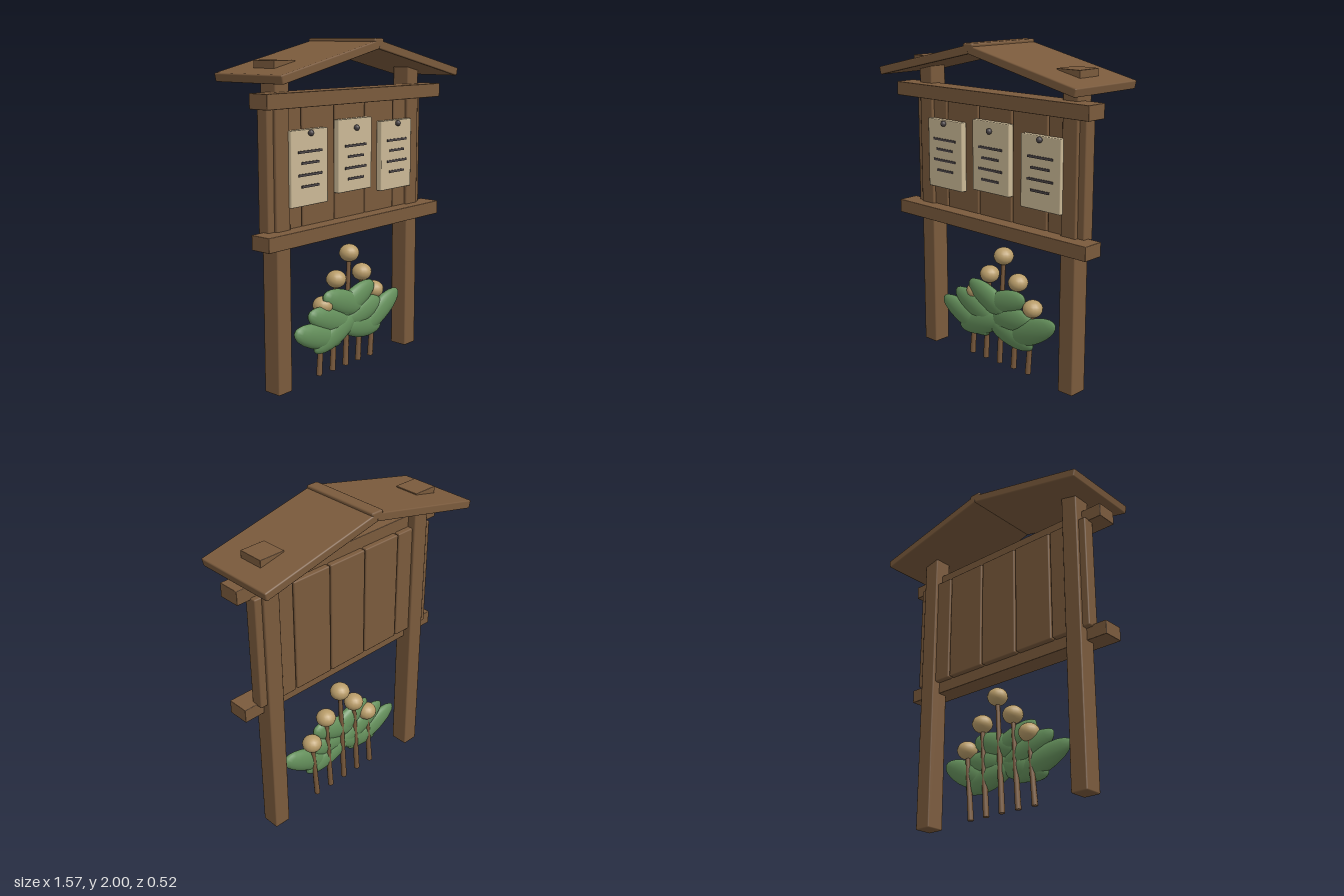
import * as THREE from 'three';
import { RoundedBoxGeometry } from 'three/addons/geometries/RoundedBoxGeometry.js';

const material = (name, color) => {
  const m = new THREE.MeshStandardMaterial({ color });
  m.name = name;
  return m;
};

export function createModel() {
  const model = new THREE.Group();
  model.name = 'noticeBoard';
  const wood = material('brown wood', 0x7a5a3c);
  const paper = material('aged paper', 0xcbb996);
  const ink = material('dark ink', 0x4a4446);
  const leafGreen = material('leaf green', 0x648f5b);
  const seed = material('tan flower', 0xb89c69);

  const add = (name, geometry, mat, x, y, z, parent = model) => {
    const mesh = new THREE.Mesh(geometry, mat);
    mesh.name = name;
    mesh.position.set(x, y, z);
    parent.add(mesh);
    return mesh;
  };
  const plank = (name, w, h, d, x, y, z, r = 0.008) =>
    add(name, new RoundedBoxGeometry(w, h, d, 1, r), wood, x, y, z);

  // Posts, post caps and the two sloping roof panels
  for (const s of [-1, 1]) {
    const side = s > 0 ? 'left' : 'right';
    plank(side + 'Post', 0.108, 1.84, 0.118, s * 0.583, 0.92, 0);
    plank(side + 'PostCap', 0.16, 0.055, 0.16, s * 0.583, 1.858, 0, 0.003);
    const roof = plank(side + 'RoofPanel', 0.8, 0.05, 0.52, s * 0.391, 1.878, 0);
    roof.rotation.z = -s * 0.22;
  }
  plank('roofRidge', 0.08, 0.05, 0.52, 0, 1.975, 0, 0.01);

  // Backing boards with narrow gaps
  for (let i = -2; i <= 2; i++) plank('backBoard', 0.266, 0.705, 0.078, i * 0.275, 1.29, 0);

  // Front rails
  plank('lowerRail', 1.54, 0.085, 0.136, 0, 0.908, 0.064, 0.004);
  plank('upperRail', 1.54, 0.085, 0.136, 0, 1.673, 0.064, 0.004);

  // Pinned sheets with plain ruled marks
  for (const i of [-1, 0, 1]) {
    const sheet = new THREE.Group();
    sheet.name = 'pinnedSheet';
    sheet.position.x = i * 0.392;
    model.add(sheet);
    add('sheet', new RoundedBoxGeometry(0.3, 0.43, 0.04, 1, 0.006), paper, 0, i ? 1.288 : 1.323, 0.06, sheet);
    [1.38, 1.317, 1.25, 1.185].forEach((y, k) =>
      add('ruledMark', new THREE.BoxGeometry(k % 2 ? 0.14 : 0.19, 0.014, 0.008), ink, 0, y, 0.082, sheet));
    add('pin', new THREE.SphereGeometry(0.018, 12, 8), ink, 0, 1.483, 0.09, sheet);
  }

  // Leaning stems with round flower heads
  const up = new THREE.Vector3(0, 1, 0);
  [0.43, 0.567, 0.709, 0.567, 0.43].forEach((h, i) => {
    const x = (i - 2) * 0.12;
    const lean = new THREE.Vector3(0.035, h, 0);
    const stem = add('stem', new THREE.CylinderGeometry(0.013, 0.018, lean.length(), 8), wood, x + 0.0175, h / 2, 0);
    stem.quaternion.setFromUnitVectors(up, lean.normalize());
    add('flowerHead', new THREE.SphereGeometry(0.062, 16, 12), seed, x + 0.035, h, 0).scale.y = 0.88;
  });

  // Overlapping leaves: x, y, tilt, half length
  const leaves = [
    [-0.27, 0.255, -0.32, 0.22], [-0.13, 0.245, 0.35, 0.2],
    [-0.165, 0.335, -0.35, 0.21], [-0.05, 0.42, -0.38, 0.2],
    [0.06, 0.42, 0.36, 0.19], [0.13, 0.33, 0.2, 0.17],
    [0.12, 0.235, -0.2, 0.19], [0.285, 0.29, 0.47, 0.22],
  ];
  leaves.forEach(([x, y, tilt, half], i) => {
    const leaf = add('leaf', new THREE.SphereGeometry(1, 18, 12), leafGreen, x, y, 0.027 + (i % 2) * 0.004);
    leaf.scale.set(half, 0.077, 0.042);
    leaf.rotation.z = tilt;
  });

  return model;
}
